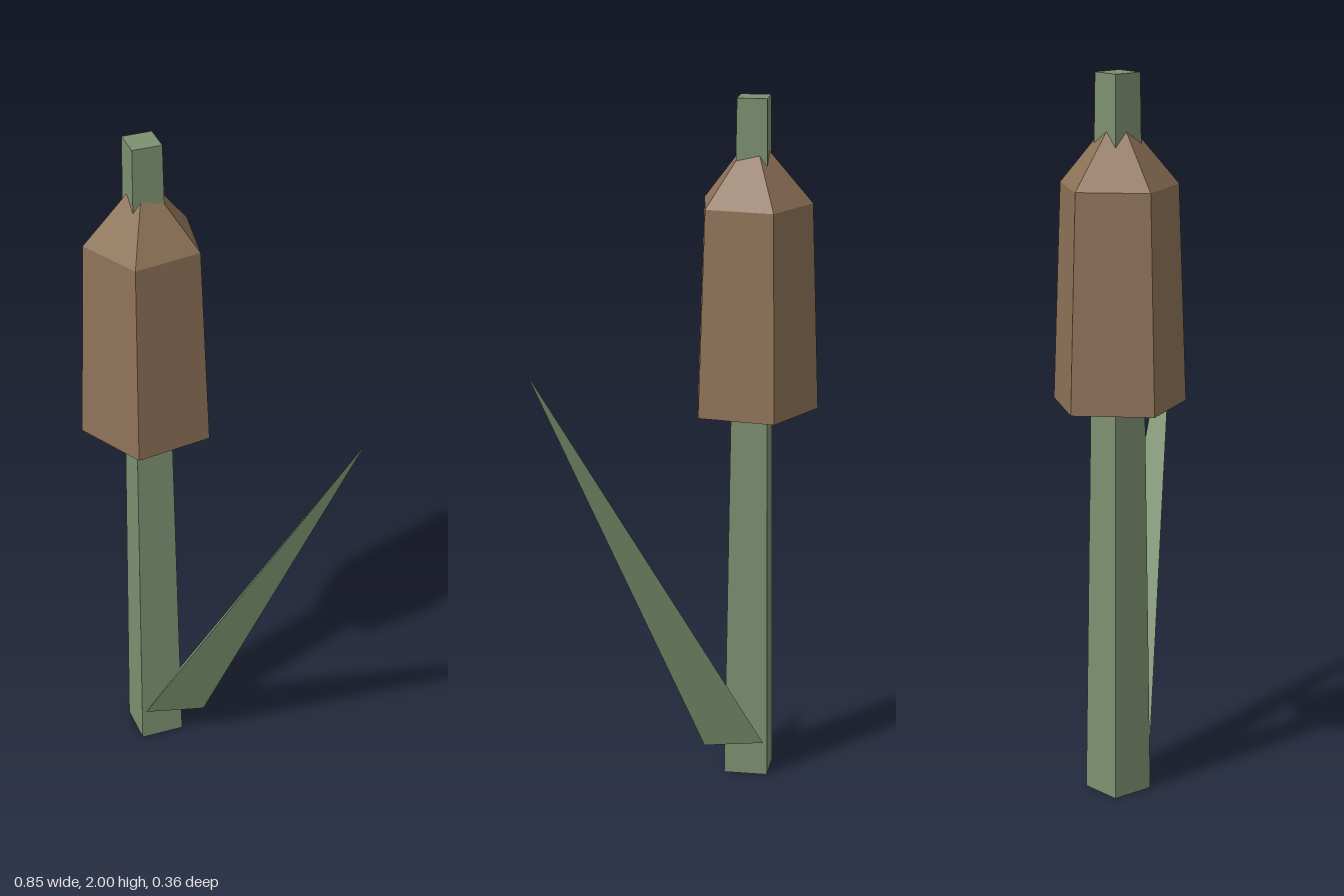
import * as THREE from 'three';

const STEM_X = -0.275;

function part(name, geometry, color) {
  const mesh = new THREE.Mesh(geometry, new THREE.MeshStandardMaterial({ color, flatShading: true }));
  mesh.name = name;
  return mesh;
}

export function createModel() {
  const group = new THREE.Group();
  group.name = 'cattail';

  // Square, tapering stem with its corners on the axes
  const stem = part('stem', new THREE.CylinderGeometry(0.06, 0.09, 2, 4), 0x7c9070);
  stem.position.set(STEM_X, 1, 0);
  group.add(stem);

  // Five-sided seed head: closed bottom, slight taper, pointed cap
  const profile = [[0, 1.105], [0.19, 1.105], [0.168, 1.7], [0, 1.9]]
    .map(([r, y]) => new THREE.Vector2(r, y));
  const head = part('seedHead', new THREE.LatheGeometry(profile, 5, Math.PI / 2), 0x8e7258);
  head.position.x = STEM_X;
  group.add(head);

  // Three-sided leaf: a cone sheared so its level base stays at the stem
  const height = 1.19;
  const lean = new THREE.Vector2(0.634, 0.1).divideScalar(height);
  const leafGeometry = new THREE.ConeGeometry(0.1, height, 3, 1, false, Math.PI / 2);
  leafGeometry.translate(0, height / 2, 0);
  leafGeometry.applyMatrix4(new THREE.Matrix4().set(
    1, lean.x, 0, 0,
    0, 1, 0, 0,
    0, lean.y, 1, 0,
    0, 0, 0, 1));
  const leaf = part('leaf', leafGeometry, 0x78906c);
  leaf.position.set(-0.212, 0.103, 0);
  group.add(leaf);

  return group;
}
